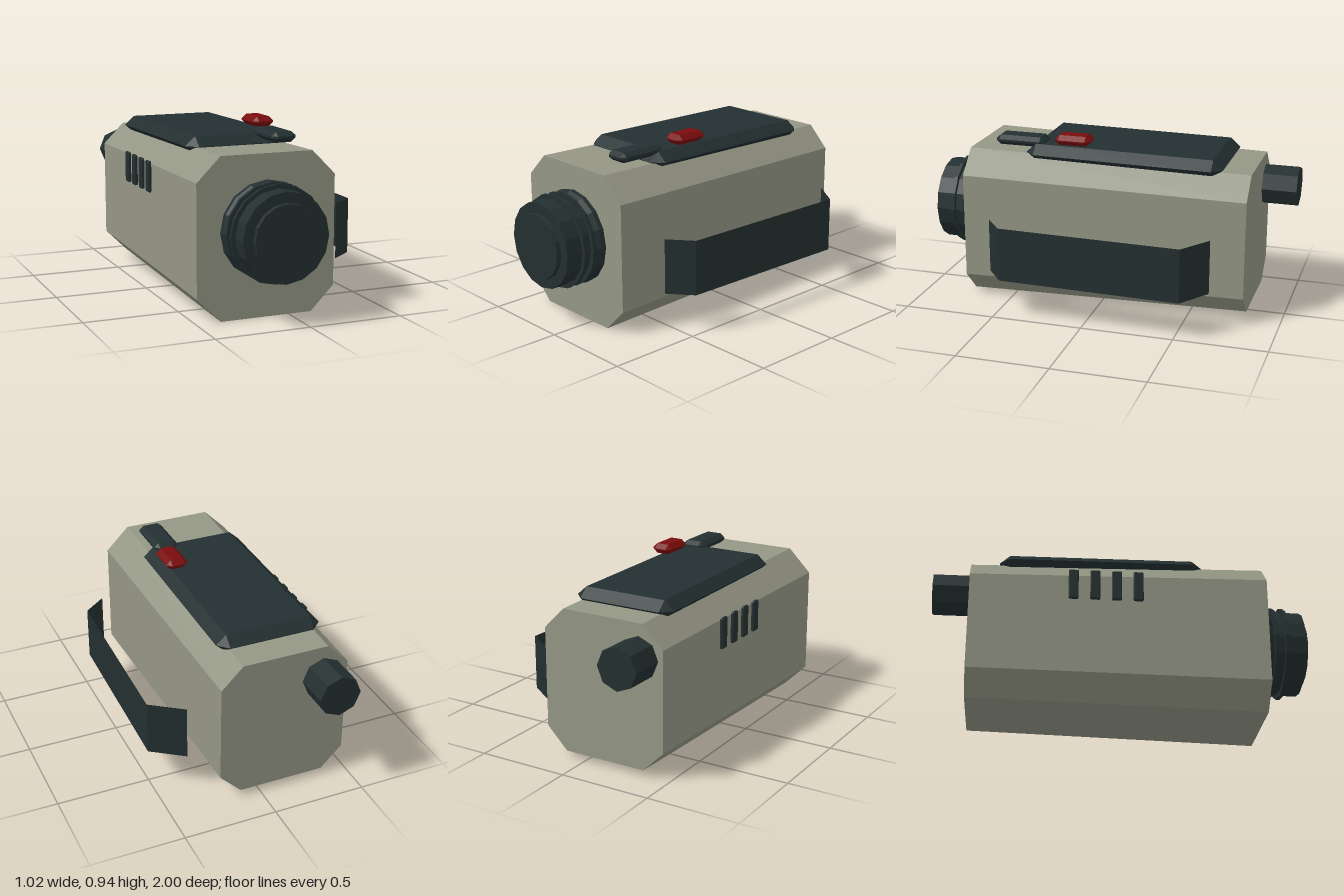
import * as THREE from 'three';
import { ConvexGeometry } from 'three/addons/geometries/ConvexGeometry.js';

const material = (name, color) => {
  const m = new THREE.MeshStandardMaterial({ color });
  m.name = name;
  return m;
};

// Faceted copy of a geometry
function faceted(geometry) {
  const g = geometry.index ? geometry.toNonIndexed() : geometry;
  g.computeVertexNormals();
  return g;
}

// Block chamfered on all edges: half sizes x, y, z, bevel b, half height m of the upright rim
function bevelBlock(x, y, z, b, m = 0) {
  const points = [];
  for (const sx of [-1, 1]) for (const sy of [-1, 1]) for (const sz of [-1, 1]) {
    points.push(new THREE.Vector3(sx * (x - b), sy * y, sz * (z - b)));
    points.push(new THREE.Vector3(sx * x, sy * m, sz * (z - b)));
    points.push(new THREE.Vector3(sx * (x - b), sy * m, sz * z));
  }
  // With no rim the upper and lower points coincide
  const unique = points.filter((p, i) => points.findIndex(q => q.distanceTo(p) < 1e-6) === i);
  return new ConvexGeometry(unique);
}

// Octagonal section with cut corners
function section(x0, x1, y0, y1, cut, z) {
  return [
    [x0 + cut, y1], [x1 - cut, y1], [x1, y1 - cut], [x1, y0 + cut],
    [x1 - cut, y0], [x0 + cut, y0], [x0, y0 + cut], [x0, y1 - cut],
  ].map(([x, y]) => new THREE.Vector3(x, y, z));
}

export function createModel() {
  const model = new THREE.Group();
  model.name = 'camcorder';
  const grey = material('warm grey casing', 0x949685);
  const dark = material('dark slate', 0x232f30);
  const red = material('record red', 0x7a0c0c);
  const strapDark = material('strap slate', 0x232f30);
  strapDark.side = THREE.DoubleSide;

  const add = (name, geometry, mat, x = 0, y = 0, z = 0) => {
    const mesh = new THREE.Mesh(geometry, mat);
    mesh.name = name;
    mesh.position.set(x, y, z);
    model.add(mesh);
    return mesh;
  };

  // Casing, tapering slightly to the back
  add('casing', new ConvexGeometry([
    ...section(-0.495, 0.25, 0, 0.827, 0.126, 0.75),
    ...section(-0.472, 0.225, 0.035, 0.8, 0.116, -0.81),
  ]), grey);

  // Lens barrel with two thin rings
  const profile = [
    [0, 0.74], [0.25, 0.74], [0.25, 0.775], [0.235, 0.8], [0.225, 0.8],
    [0.225, 0.81], [0.25, 0.81], [0.25, 0.828], [0.225, 0.828],
    [0.225, 0.865], [0.25, 0.865], [0.25, 0.885], [0.228, 0.885],
    [0.228, 0.977], [0.175, 0.977], [0.172, 1], [0, 1],
  ].map(([r, h]) => new THREE.Vector2(r, h));
  const lens = new THREE.LatheGeometry(profile, 16).rotateX(Math.PI / 2);
  add('lens', faceted(lens), dark, -0.122, 0.447, 0);

  // Eyepiece at the back
  const eyepiece = new THREE.CylinderGeometry(0.112, 0.112, 0.21, 8).rotateX(Math.PI / 2);
  add('eyepiece', faceted(eyepiece), dark, -0.333, 0.623, -0.895);

  // Top cover and its switches
  const cover = add('topCover', bevelBlock(0.287, 0.049, 0.545, 0.055), dark, -0.122, 0.82, -0.115);
  cover.rotation.x = -0.01;
  add('zoomSwitch', bevelBlock(0.067, 0.027, 0.14, 0.025, 0.006), dark, 0.042, 0.876, 0.472);
  add('recordButton', bevelBlock(0.06, 0.027, 0.1, 0.026, 0.003), red, 0.086, 0.91, 0.162);

  // Row of narrow side buttons
  for (let i = 0; i < 4; i++) {
    add('sideButton' + (i + 1), bevelBlock(0.009, 0.083, 0.026, 0.004, 0.077),
      dark, -0.502, 0.628, -0.27 + i * 0.113);
  }

  // Hand strap, a folded sheet standing off the side
  const path = [[0.36, 0.56], [0.485, 0.46], [0.51, -0.53], [0.34, -0.65]];
  const strap = new THREE.PlaneGeometry(1, 0.295, 3, 1);
  const pos = strap.attributes.position;
  for (let i = 0; i < pos.count; i++) {
    const [x, z] = path[i % 4];
    pos.setXYZ(i, x, pos.getY(i) + 0.358, z);
  }
  add('handStrap', faceted(strap), strapDark);

  return model;
}
